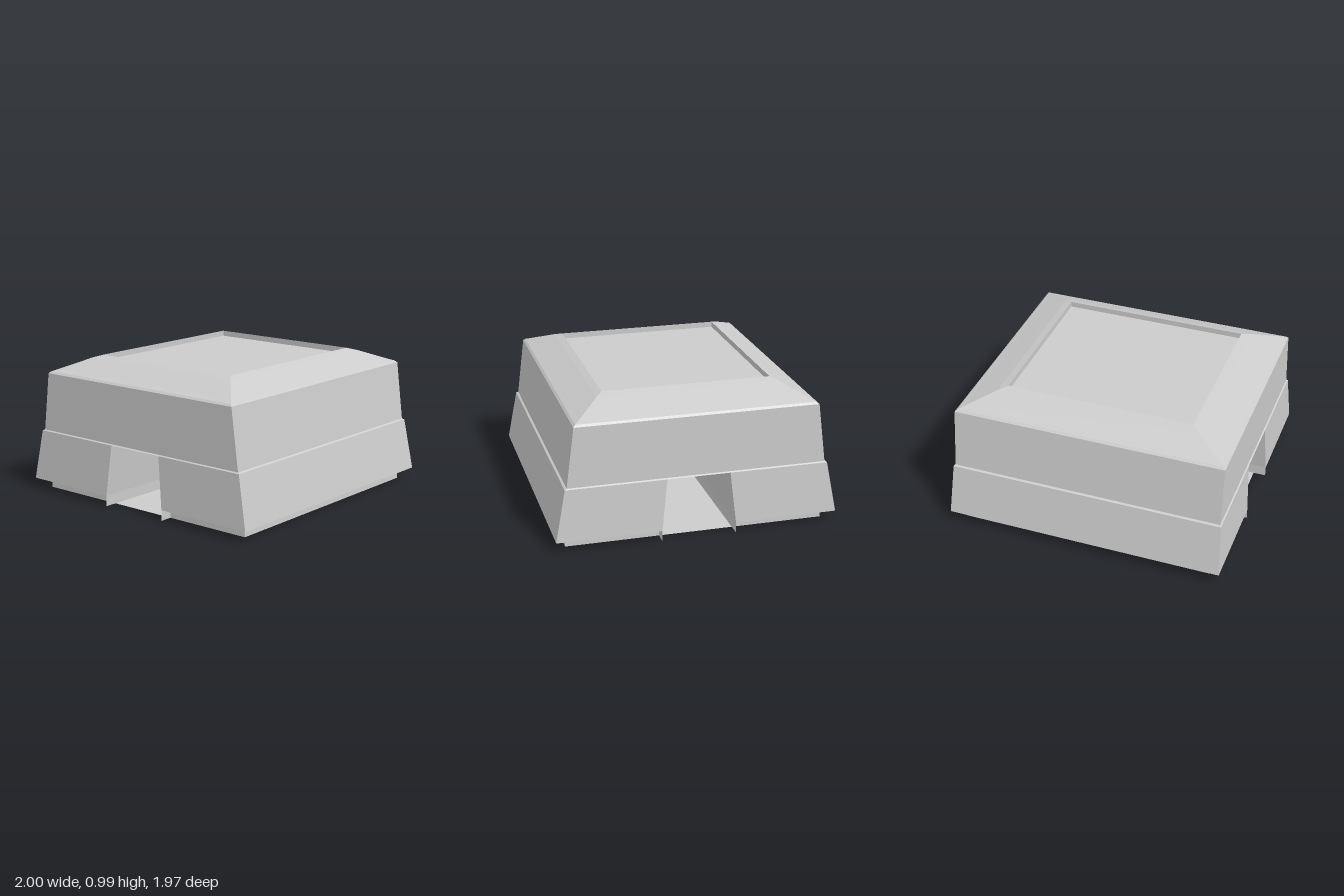
import * as THREE from 'three';

const grey = new THREE.MeshStandardMaterial({ color: 0xcccccc, flatShading: true });
const thin = new THREE.MeshStandardMaterial({ color: 0xcccccc, flatShading: true, side: THREE.DoubleSide });

// Joins rectangular rings [half width x, y, z back, z front] from bottom to top, capped at both ends
function loft(name, rings) {
  const pos = [], index = [];
  rings.forEach(([hx, y, z0, z1]) => pos.push(-hx, y, z1, hx, y, z1, hx, y, z0, -hx, y, z0));
  for (let r = 0; r < rings.length - 1; r++) {
    for (let i = 0; i < 4; i++) {
      const a = r * 4 + i, b = r * 4 + (i + 1) % 4;
      index.push(a, b, b + 4, a, b + 4, a + 4);
    }
  }
  const t = (rings.length - 1) * 4;
  index.push(0, 2, 1, 0, 3, 2, t, t + 1, t + 2, t, t + 2, t + 3);
  const indexed = new THREE.BufferGeometry();
  indexed.setAttribute('position', new THREE.Float32BufferAttribute(pos, 3));
  indexed.setIndex(index);
  const geo = indexed.toNonIndexed();
  geo.computeVertexNormals();
  const mesh = new THREE.Mesh(geo, grey);
  mesh.name = name;
  return mesh;
}

// Ring centred on z = 0
const ring = (hx, y, hz) => [hx, y, -hz, hz];

export function createModel() {
  const model = new THREE.Group();
  model.name = 'housing';

  // Upper body, sloped roof and the shallow recess in its top
  model.add(loft('upperBodyAndRoof', [
    ring(0.98, 0.44, 0.915),
    ring(0.97, 0.447, 0.90),
    ring(0.97, 0.868, 0.845),
    ring(0.955, 0.882, 0.83),
    ring(0.92, 0.895, 0.80),
    ring(0.73, 0.972, 0.64),
    ring(0.67, 0.99, 0.59),
    ring(0.67, 0.95, 0.59),
  ]));

  // Front and back halves of the lower body, with the tunnel between them
  for (const s of [1, -1]) {
    const half = (hx, y, inner, outer) => (s > 0 ? [hx, y, inner, outer] : [hx, y, -outer, -inner]);
    const side = s > 0 ? 'front' : 'back';
    model.add(loft(side + 'LowerBody', [half(1, 0.075, 0.26, 0.985), half(0.98, 0.44, 0.22, 0.915)]));
    model.add(loft(side + 'Foot', [half(0.91, 0, 0.26, 0.91), half(0.91, 0.075, 0.26, 0.905)]));

    // Tabs that carry the tunnel walls down to the floor
    for (const x of [0.955, -0.955]) {
      const tab = new THREE.Mesh(new THREE.PlaneGeometry(0.09, 0.075), thin);
      tab.name = side + 'Tab';
      tab.position.set(x, 0.0375, s * 0.26);
      model.add(tab);
    }
  }

  // Thin floor of the tunnel
  const floor = new THREE.Mesh(new THREE.PlaneGeometry(1.82, 0.52), thin);
  floor.name = 'tunnelFloor';
  floor.rotation.x = Math.PI / 2;
  model.add(floor);

  return model;
}
